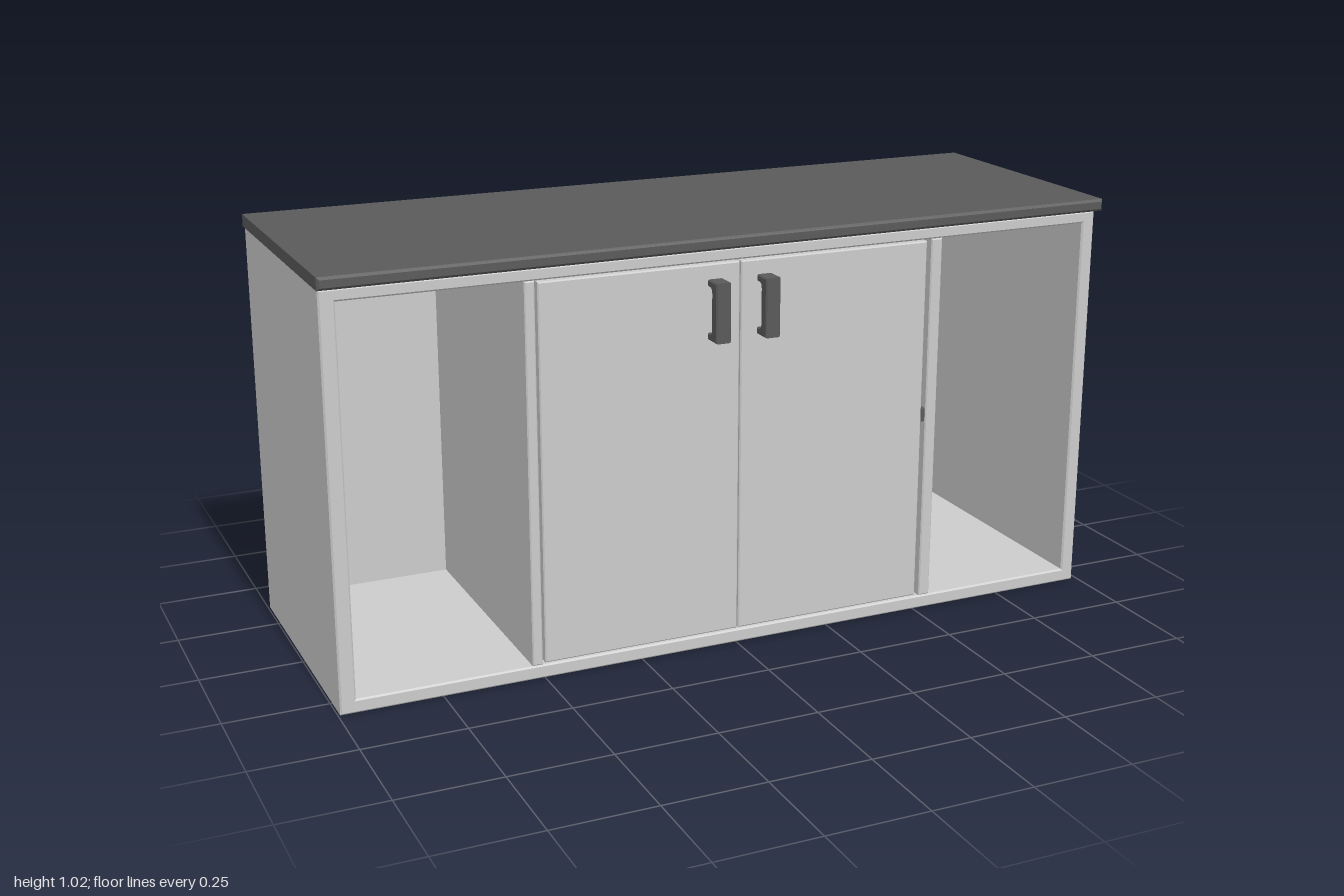
import * as THREE from 'three';

const light = new THREE.MeshStandardMaterial({ color: 0xcccccc });
const dark = new THREE.MeshStandardMaterial({ color: 0x5a5a5a });

function rect(PathType, x0, x1, y0, y1) {
  const p = new PathType();
  p.moveTo(x0, y0);
  p.lineTo(x1, y0);
  p.lineTo(x1, y1);
  p.lineTo(x0, y1);
  p.closePath();
  return p;
}

// Extrusion from z0 to z1 whose chamfer stays inside the outline
function chamfered(shape, z0, z1, b) {
  const geometry = new THREE.ExtrudeGeometry(shape, {
    depth: z1 - z0 - 2 * b,
    bevelEnabled: true,
    bevelSize: b,
    bevelThickness: b,
    bevelOffset: -b,
    bevelSegments: 1,
    curveSegments: 4,
  });
  return geometry.translate(0, 0, z0 + b);
}

export function createModel() {
  const model = new THREE.Group();
  model.name = 'cabinet';

  const add = (name, geometry, material) => {
    const mesh = new THREE.Mesh(geometry, material);
    mesh.name = name;
    model.add(mesh);
    return mesh;
  };
  const board = (name, x0, x1, y0, y1, z0, z1, b, material = light) =>
    add(name, chamfered(rect(THREE.Shape, x0, x1, y0, y1), z0, z1, b), material);

  const back = -0.366, front = 0.323;

  // Carcass: sides, floor and ceiling as one hollow frame
  const frame = rect(THREE.Shape, -0.995, 0.985, 0, 0.993);
  frame.holes.push(rect(THREE.Path, -0.957, 0.95, 0.034, 0.964));
  add('carcass', chamfered(frame, back, front, 0.004), light);
  board('backPanel', -0.965, 0.96, 0.026, 0.972, back + 0.0005, back + 0.025, 0.001);

  // Uprights between the open bays and the cupboard
  board('rightDivider', -0.53, -0.505, 0.034, 0.964, back + 0.02, front - 0.001, 0.003);
  board('leftDivider', 0.516, 0.546, 0.034, 0.964, back + 0.02, front - 0.001, 0.003);

  // Doors
  board('rightDoor', -0.499, 0.001, 0.038, 0.96, front - 0.03, front, 0.003);
  board('leftDoor', 0.004, 0.503, 0.038, 0.96, front - 0.03, front, 0.003);
  board('hinge', 0.5, 0.517, 0.5, 0.535, front - 0.025, front - 0.006, 0.001, dark);

  // Worktop
  board('worktop', -1, 0.995, 0.995, 1.025, -0.368, 0.343, 0.006, dark);

  // Handles: bracket profile in depth and height, extruded sideways
  const h0 = 0.78, h1 = 0.924, t = 0.017, outer = 0.37, inner = 0.343, r = 0.012;
  const bracket = new THREE.Shape();
  bracket.moveTo(front - 0.004, h0);
  bracket.lineTo(outer, h0);
  bracket.lineTo(outer, h1);
  bracket.lineTo(front - 0.004, h1);
  bracket.lineTo(front - 0.004, h1 - t);
  bracket.lineTo(inner - r, h1 - t);
  bracket.quadraticCurveTo(inner, h1 - t, inner, h1 - t - r);
  bracket.lineTo(inner, h0 + t + r);
  bracket.quadraticCurveTo(inner, h0 + t, inner - r, h0 + t);
  bracket.lineTo(front - 0.004, h0 + t);
  bracket.closePath();
  const handleGeometry = chamfered(bracket, -0.019, 0.019, 0.003).rotateY(-Math.PI / 2);
  for (const [name, x] of [['rightHandle', -0.062], ['leftHandle', 0.065]]) {
    add(name, handleGeometry, dark).position.x = x;
  }

  return model;
}
